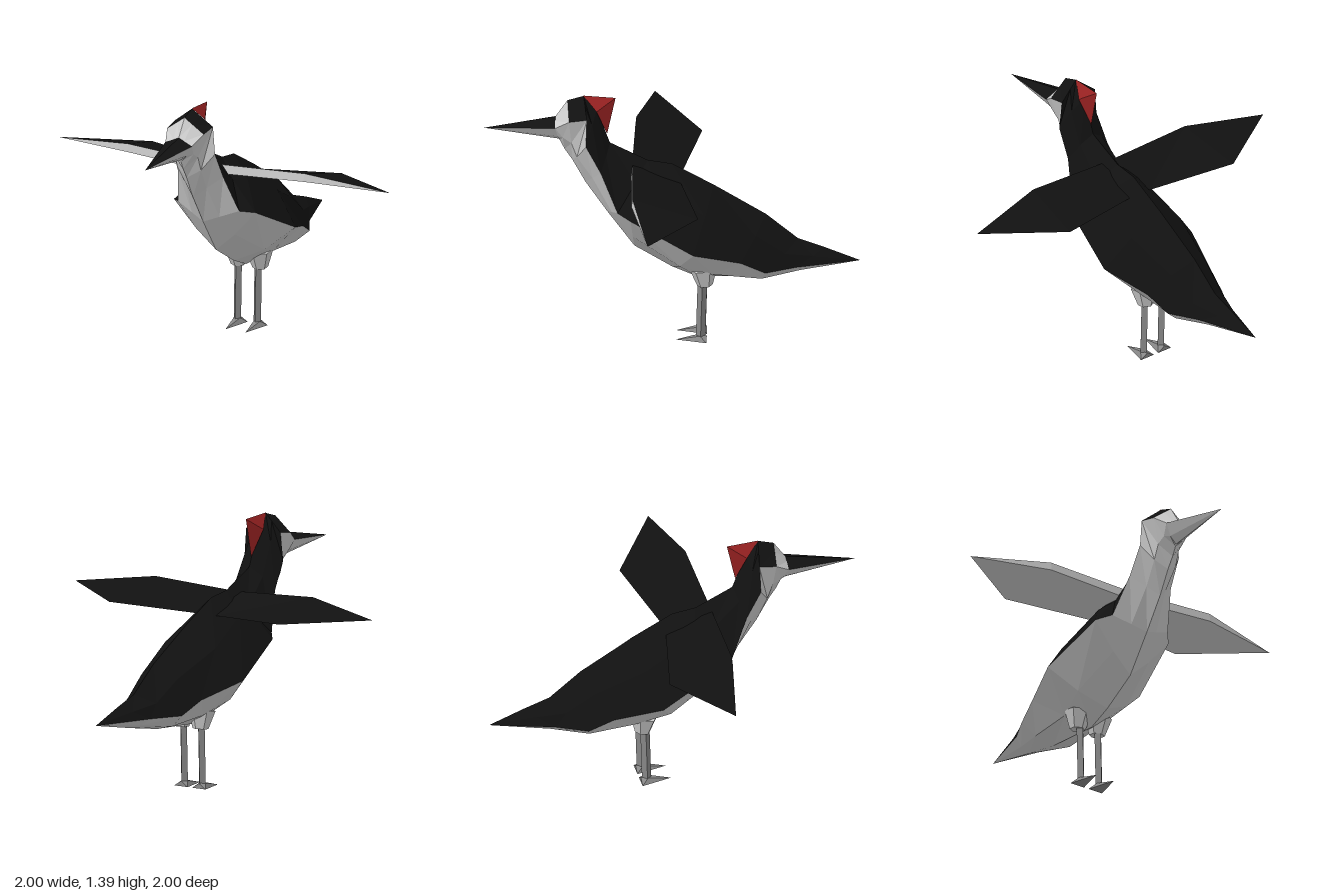
import * as THREE from 'three';

const material = (color) => new THREE.MeshStandardMaterial({ color, flatShading: true });
const lerp = THREE.MathUtils.lerp;

// Mesh from polygons given on the left (+x) half; each is also mirrored to -x.
function mirroredMesh(name, polygons, mat) {
  const out = [];
  const flip = ([x, y, z]) => [-x, y, z];
  const addTri = (a, b, c) => {
    const t = new THREE.Triangle(...[a, b, c].map((p) => new THREE.Vector3(...p)));
    if (t.getArea() > 1e-6) out.push(...a, ...b, ...c);
  };
  for (const p of polygons) {
    for (let i = 1; i < p.length - 1; i++) {
      addTri(p[0], p[i], p[i + 1]);
      addTri(flip(p[0]), flip(p[i + 1]), flip(p[i]));
    }
  }
  const geo = new THREE.BufferGeometry();
  geo.setAttribute('position', new THREE.Float32BufferAttribute(out, 3));
  geo.computeVertexNormals();
  const mesh = new THREE.Mesh(geo, mat);
  mesh.name = name;
  return mesh;
}

// Half ring from spine, colour edge and keel; the bulges widen the shoulder and lower side.
function halfRing([spineY, spineZ], [x, y, z], [keelY, keelZ], shoulder = 0, lower = 0) {
  return [
    [0, spineY, spineZ],
    [(0.4 + shoulder) * x, lerp(spineY, y, 0.4), lerp(spineZ, z, 0.4)],
    [x, y, z],
    [(0.45 + lower) * x, lerp(y, keelY, 0.55 + lower), lerp(z, keelZ, 0.55 + lower)],
    [0, keelY, keelZ],
  ];
}

// Quads of strips j0..j1 between consecutive half rings, running front to back.
function strips(rings, j0, j1) {
  const quads = [];
  for (let i = 0; i < rings.length - 1; i++) {
    const a = rings[i], b = rings[i + 1];
    for (let j = j0; j < j1; j++) quads.push([a[j], a[j + 1], b[j + 1], b[j]]);
  }
  return quads;
}

export function createModel() {
  const group = new THREE.Group();
  const dark = material(0x111111), light = material(0xcccccc);
  const red = material(0x992222), legGrey = material(0x888888);

  // Head, neck, trunk and tail
  const body = [
    halfRing([1.365, 0.555], [0.11, 1.285, 0.545], [1.13, 0.595], 0, 0.15),
    halfRing([1.39, 0.47], [0.115, 1.3, 0.45], [1.08, 0.57], 0, 0.15),
    halfRing([1.31, 0.4], [0.13, 1.15, 0.455], [1.02, 0.53], 0.15, 0.1),
    halfRing([1.12, 0.33], [0.137, 1.0, 0.375], [0.89, 0.46], 0.15),
    halfRing([1.02, 0.13], [0.185, 0.79, 0.285], [0.72, 0.345], 0.12),
    halfRing([1.0, 0], [0.245, 0.77, 0.215], [0.52, 0.2], 0.12, 0.03),
    halfRing([0.88, -0.22], [0.307, 0.6, -0.12], [0.4, 0], 0.15, 0.08),
    halfRing([0.71, -0.5], [0.22, 0.52, -0.37], [0.34, -0.14], 0.15, 0.08),
    halfRing([0.57, -0.67], [0.19, 0.45, -0.5], [0.355, -0.47], 0.12, 0.15),
    halfRing([0.52, -0.81], [0.105, 0.447, -0.66], [0.39, -0.69], 0.1, 0.1),
    halfRing([0.445, -1], [0, 0.445, -1], [0.445, -1]),
  ];
  const beak = [
    halfRing([1.2, 1], [0, 1.2, 1], [1.2, 1]),
    halfRing([1.27, 0.62], [0.08, 1.235, 0.62], [1.14, 0.6], 0, 0.1),
  ];
  group.add(
    mirroredMesh('upperBeak', strips(beak, 0, 2), dark),
    mirroredMesh('lowerBeak', strips(beak, 2, 4), light),
    mirroredMesh('face', strips([beak[1], body[0]], 0, 4), light),
    mirroredMesh('backAndTail', strips(body, 0, 2), dark),
    mirroredMesh('throatAndBelly', strips(body, 2, 4), light),
  );

  // Crest: a wedge rising behind the crown
  const crown = [0, 1.392, 0.472], peak = [0, 1.38, 0.3], nape = [0, 1.17, 0.345], side = [0.04, 1.315, 0.4];
  group.add(mirroredMesh('crest', [[crown, side, peak], [peak, side, nape]], red));

  // Wings: front top, front bottom and trailing points from root to tip
  const tip = [1, 0.968, 0.11];
  const wing = [
    [[0.01, 1.005, 0.21], [0.01, 0.955, 0.215], [0.07, 0.915, -0.05]],
    [[0.53, 1.03, 0.2], [0.53, 0.985, 0.205], [0.57, 0.935, -0.15]],
    [tip, tip, tip],
  ];
  const wingStrip = (a, b) => [0, 1].map((i) => [wing[i][a], wing[i][b], wing[i + 1][b], wing[i + 1][a]]);
  group.add(
    mirroredMesh('wingTops', wingStrip(2, 0), dark),
    mirroredMesh('wingUndersides', [...wingStrip(0, 1), ...wingStrip(1, 2)], light),
  );

  // Legs: thigh, four-sided shank and a pointed flat foot
  const toe = [0, 0, -0.02], heel = [0.045, 0, -0.185], back = [0, 0, -0.185];
  const ankle = [0.018, 0.028, -0.15], ankleBack = [0, 0.028, -0.185], instep = [0, 0.028, -0.135];
  for (const s of [1, -1]) {
    const leg = new THREE.Group();
    leg.name = s > 0 ? 'leftLeg' : 'rightLeg';
    const thigh = new THREE.Mesh(new THREE.CylinderGeometry(0.075, 0.042, 0.1, 6), light);
    thigh.name = 'thigh';
    thigh.position.set(0.005 * s, 0.373, -0.172);
    thigh.rotation.x = 0.1;
    const shank = new THREE.Mesh(new THREE.CylinderGeometry(0.022, 0.022, 0.33, 4), legGrey);
    shank.name = 'shank';
    shank.position.set(0, 0.18, -0.158);
    shank.rotation.x = -0.03;
    shank.scale.z = 1.15;
    const foot = mirroredMesh('foot', [
      [toe, heel, ankle], [toe, ankle, instep], [heel, ankleBack, ankle],
      [instep, ankle, ankleBack], [heel, back, ankleBack], [toe, back, heel],
    ], legGrey);
    leg.add(thigh, shank, foot);
    leg.position.x = 0.06 * s;
    group.add(leg);
  }
  return group;
}
